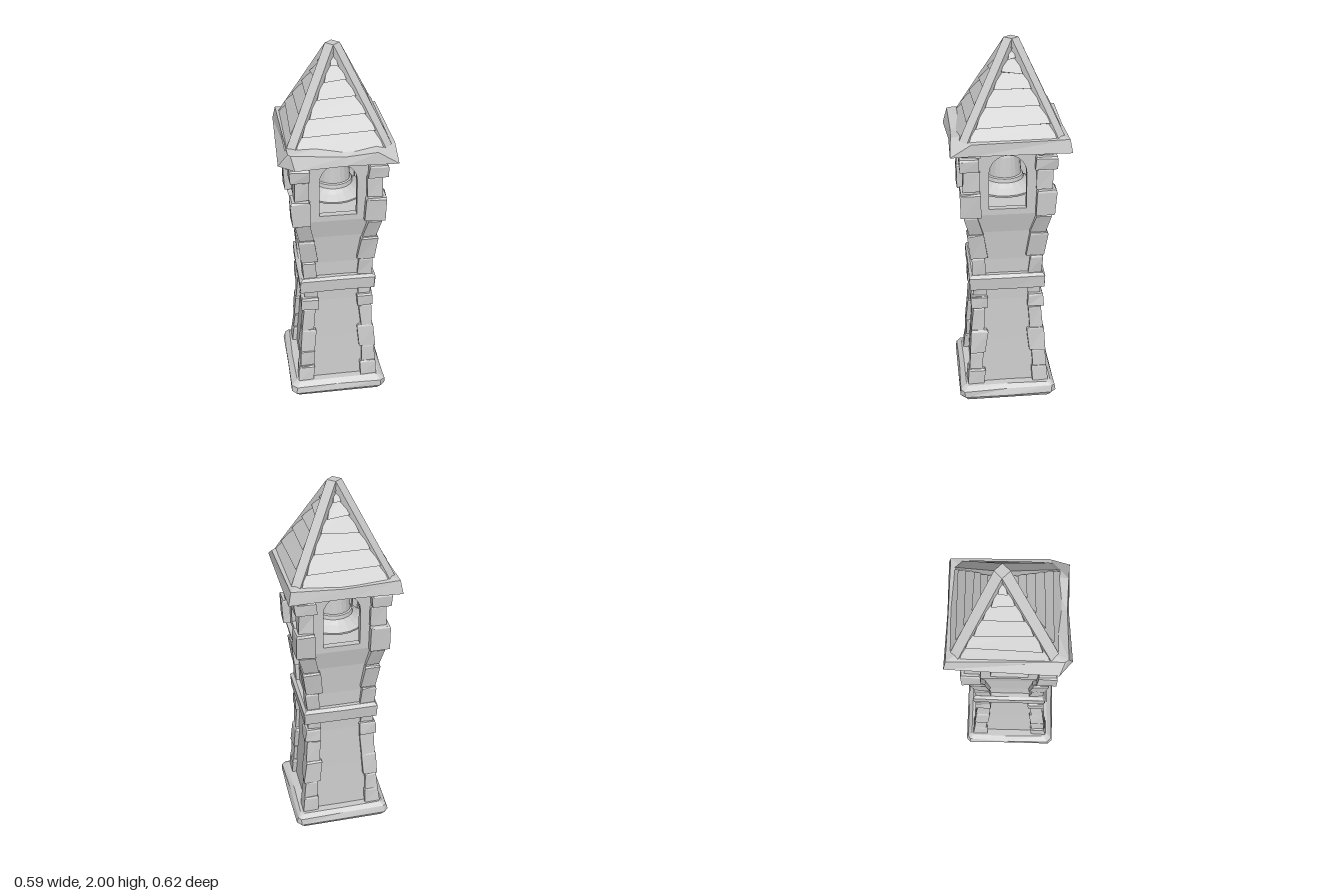
import * as THREE from 'three';

const stone = new THREE.MeshStandardMaterial({ color: 0xcccccc, flatShading: true, side: THREE.DoubleSide });
const smooth = new THREE.MeshStandardMaterial({ color: 0xcccccc, side: THREE.DoubleSide });

// Small seeded noise for the hand-hewn look
let seed = 7;
const jitter = (a) => {
  seed = (seed * 16807) % 2147483647;
  return (seed / 2147483647 - 0.5) * 2 * a;
};

// Skin between loops of points; caps close the ends, otherwise the skin wraps into a ring
function loft(loops, capped = true) {
  const pos = [];
  const tri = (...pts) => pts.forEach((p) => pos.push(...p));
  const n = loops[0].length;
  const last = capped ? loops.length - 1 : loops.length;
  for (let i = 0; i < last; i++) {
    const lo = loops[i], hi = loops[(i + 1) % loops.length];
    for (let j = 0; j < n; j++) {
      const k = (j + 1) % n;
      tri(lo[j], lo[k], hi[k]);
      tri(lo[j], hi[k], hi[j]);
    }
  }
  if (capped) {
    const mid = (l) => [0, 1, 2].map((c) => l.reduce((s, p) => s + p[c], 0) / n);
    const bottom = loops[0], top = loops[loops.length - 1];
    for (let j = 0; j < n; j++) {
      const k = (j + 1) % n;
      tri(mid(bottom), bottom[k], bottom[j]);
      tri(mid(top), top[j], top[k]);
    }
  }
  const g = new THREE.BufferGeometry();
  g.setAttribute('position', new THREE.Float32BufferAttribute(pos, 3));
  g.computeVertexNormals();
  return g;
}

// Square outline with clipped corners and a midpoint on each side
function square(h, y, cut = 0.01, wobble = 0) {
  const pts = [];
  for (let s = 0; s < 4; s++) {
    const c = Math.cos(s * Math.PI / 2), n = Math.sin(s * Math.PI / 2);
    for (const [u, v] of [[-h + cut, h], [0, h], [h - cut, h]]) {
      pts.push([u * c + v * n + jitter(wobble), y + jitter(wobble * 0.5), -u * n + v * c + jitter(wobble)]);
    }
  }
  return pts;
}

// Rectangle outline, counter-clockwise from above
const rect = (cx, cz, hx, hz, y, wob = 0) =>
  [[-1, 1], [1, 1], [1, -1], [-1, -1]].map(([a, b]) =>
    [cx + a * hx + jitter(wob), y + jitter(wob * 0.8), cz + b * hz + jitter(wob)]);

export function createModel() {
  const model = new THREE.Group();
  const add = (name, geo, parent = model, mat = stone) => {
    const m = new THREE.Mesh(geo, mat);
    m.name = name;
    parent.add(m);
    return m;
  };
  const group = (name, x = 0, z = 0) => {
    const g = new THREE.Group();
    g.name = name;
    g.position.set(x, 0, z);
    model.add(g);
    return g;
  };

  // Plinth, waisted shaft and belt course
  const tower = group('tower', 0.007, 0.003);
  add('plinth', loft([square(0.256, 0, 0.03), square(0.27, 0.025, 0.025, 0.003),
    square(0.264, 0.062, 0.02, 0.006), square(0.238, 0.082, 0.015, 0.005)]), tower);
  const profile = [[0.07, 0.2], [0.35, 0.181], [0.6, 0.168], [0.85, 0.168], [1.02, 0.18], [1.14, 0.203]];
  add('shaft', loft(profile.map(([y, h]) => square(h, y, 0.005))), tower);
  add('beltCourse', loft([square(0.2, 0.682, 0.003, 0.003), square(0.203, 0.752, 0.003, 0.004),
    square(0.192, 0.766, 0.003, 0.004)]), tower);

  // Belfry walls with arched openings
  const wall = new THREE.Shape();
  wall.moveTo(-0.205, 1.13).lineTo(0.205, 1.13).lineTo(0.205, 1.52).lineTo(-0.205, 1.52).closePath();
  const arch = new THREE.Path();
  arch.moveTo(-0.096, 1.162).lineTo(-0.096, 1.36).absarc(0, 1.36, 0.096, Math.PI, 0, true).lineTo(0.096, 1.162).closePath();
  wall.holes.push(arch);
  const wallGeo = new THREE.ExtrudeGeometry(wall, { depth: 0.035, bevelEnabled: false, curveSegments: 5 });
  wallGeo.translate(0, 0, 0.17);

  // Corner stones: y from, y to, outer edge below, outer edge above, width
  const quoins = [
    [0.08, 0.175, 0.226, 0.219, 0.09], [0.175, 0.28, 0.213, 0.208, 0.075],
    [0.28, 0.42, 0.212, 0.2, 0.085], [0.42, 0.56, 0.196, 0.188, 0.07],
    [0.56, 0.635, 0.199, 0.196, 0.088], [0.635, 0.7, 0.182, 0.182, 0.07],
    [0.76, 0.87, 0.185, 0.193, 0.075], [0.87, 1.015, 0.193, 0.211, 0.09],
    [1.015, 1.13, 0.202, 0.228, 0.078], [1.13, 1.27, 0.243, 0.247, 0.105],
    [1.27, 1.385, 0.228, 0.226, 0.082], [1.385, 1.455, 0.247, 0.248, 0.105],
    [1.455, 1.51, 0.228, 0.228, 0.085],
  ];
  for (let s = 0; s < 4; s++) {
    add('belfryWall', wallGeo, tower).rotation.y = s * Math.PI / 2;
    const corner = new THREE.Group();
    corner.name = 'cornerStones';
    corner.rotation.y = s * Math.PI / 2;
    tower.add(corner);
    for (const [y0, y1, o0, o1, w0] of quoins) {
      const w = (w0 + jitter(0.006)) / 2;
      const a = o0 - w, b = o1 - w;
      add('cornerStone', loft([rect(a, a, w, w, y0 + 0.002, 0.004),
        rect(b, b, w, w, y1 - 0.01, 0.004), rect(b, b, w - 0.006, w - 0.006, y1, 0.003)]), corner);
    }
  }

  // Bell on a cross beam
  const bell = group('bell', 0.007, 0.003);
  const bellProfile = [[0.12, 1.218], [0.166, 1.205], [0.168, 1.216], [0.128, 1.24], [0.104, 1.26],
    [0.1, 1.28], [0.092, 1.285], [0.082, 1.39], [0.075, 1.412], [0.055, 1.428], [0.024, 1.434],
    [0.024, 1.455], [0, 1.46]];
  add('bellBody', new THREE.LatheGeometry(bellProfile.map(([r, y]) => new THREE.Vector2(r, y)), 20), bell);
  add('clapper', new THREE.SphereGeometry(0.022, 10, 8), bell, smooth).position.y = 1.23;
  add('clapperRod', new THREE.CylinderGeometry(0.007, 0.007, 0.18, 6), bell).position.y = 1.33;
  add('bellBeam', new THREE.BoxGeometry(0.4, 0.035, 0.04), bell).position.y = 1.475;

  // Eaves frame, open in the middle: hewn corners, edges sagging between them
  add('eaves', loft([
    [[-0.22, 1.487, 0.31], [0.03, 1.488, 0.291], [0.295, 1.486, 0.295], [0.296, 1.49, 0.19],
      [0.295, 1.489, -0.31], [0.02, 1.492, -0.305], [-0.276, 1.489, -0.312], [-0.297, 1.489, 0.245]],
    [[-0.238, 1.56, 0.287], [0.03, 1.533, 0.28], [0.19, 1.55, 0.286], [0.292, 1.55, 0.19],
      [0.281, 1.556, -0.297], [0.02, 1.543, -0.297], [-0.262, 1.558, -0.298], [-0.25, 1.56, 0.27]],
    [[-0.2, 1.57, 0.19], [0, 1.57, 0.19], [0.19, 1.57, 0.19], [0.2, 1.57, 0.18],
      [0.2, 1.57, -0.2], [0, 1.57, -0.2], [-0.19, 1.57, -0.2], [-0.2, 1.57, 0.18]],
    [[-0.19, 1.49, 0.19], [0, 1.49, 0.19], [0.19, 1.49, 0.19], [0.2, 1.49, 0.18],
      [0.2, 1.49, -0.19], [0, 1.49, -0.19], [-0.18, 1.49, -0.19], [-0.19, 1.49, 0.18]],
  ], false));

  // Pyramid roof: overlapping boards between four hip beams, leaning slightly back
  const roof = group('roof', 0.009, -0.017);
  const lean = new THREE.Matrix4().set(1, 0, 0, 0, 0, 1, 0, 0, 0, -0.033, 1, 0.051, 0, 0, 0, 1);
  const addRoof = (name, loops, angle) => add(name, loft(loops).rotateY(angle).applyMatrix4(lean), roof);
  const slope = (y) => 0.255 * (2.0 - y) / 0.45;
  const rows = [1.545, 1.62, 1.7, 1.775, 1.845, 1.905, 1.955, 1.985];
  for (let s = 0; s < 4; s++) {
    const angle = s * Math.PI / 2;
    for (let i = 0; i < rows.length - 1; i++) {
      const y0 = rows[i] + jitter(0.004), y1 = rows[i + 1] + 0.006;
      const d0 = slope(y0) + (i ? 0.017 : 0.01), d1 = slope(y1) - 0.004;
      const w0 = Math.max(d0 - 0.05, 0.012), w1 = Math.max(d1 - 0.02, 0.006);
      const t = jitter(0.008);
      addRoof('roofBoard', [
        [[-w0, y0 - t, d0 + t / 2], [w0, y0 + t, d0 - t / 2], [w0, y0 + t - 0.006, d0 - 0.018], [-w0, y0 - t - 0.006, d0 - 0.018]],
        [[-w1, y1, d1], [w1, y1, d1], [w1, y1 - 0.006, d1 - 0.014], [-w1, y1 - 0.006, d1 - 0.014]],
      ], angle);
    }
    // Hip beam with a slightly kicked-out foot
    const p = 0.026;
    addRoof('hipBeam', [
      [[-p, 1.55, 0.345], [p, 1.55, 0.345], [p, 1.535, 0.298], [-p, 1.535, 0.298]],
      [[-p, 1.597, 0.314], [p, 1.597, 0.314], [p, 1.575, 0.27], [-p, 1.575, 0.27]],
      [[-p, 2.0, 0.026], [p, 2.0, 0.026], [p, 2.0, -0.026], [-p, 2.0, -0.026]],
    ], Math.PI / 4 + angle);
  }
  return model;
}
